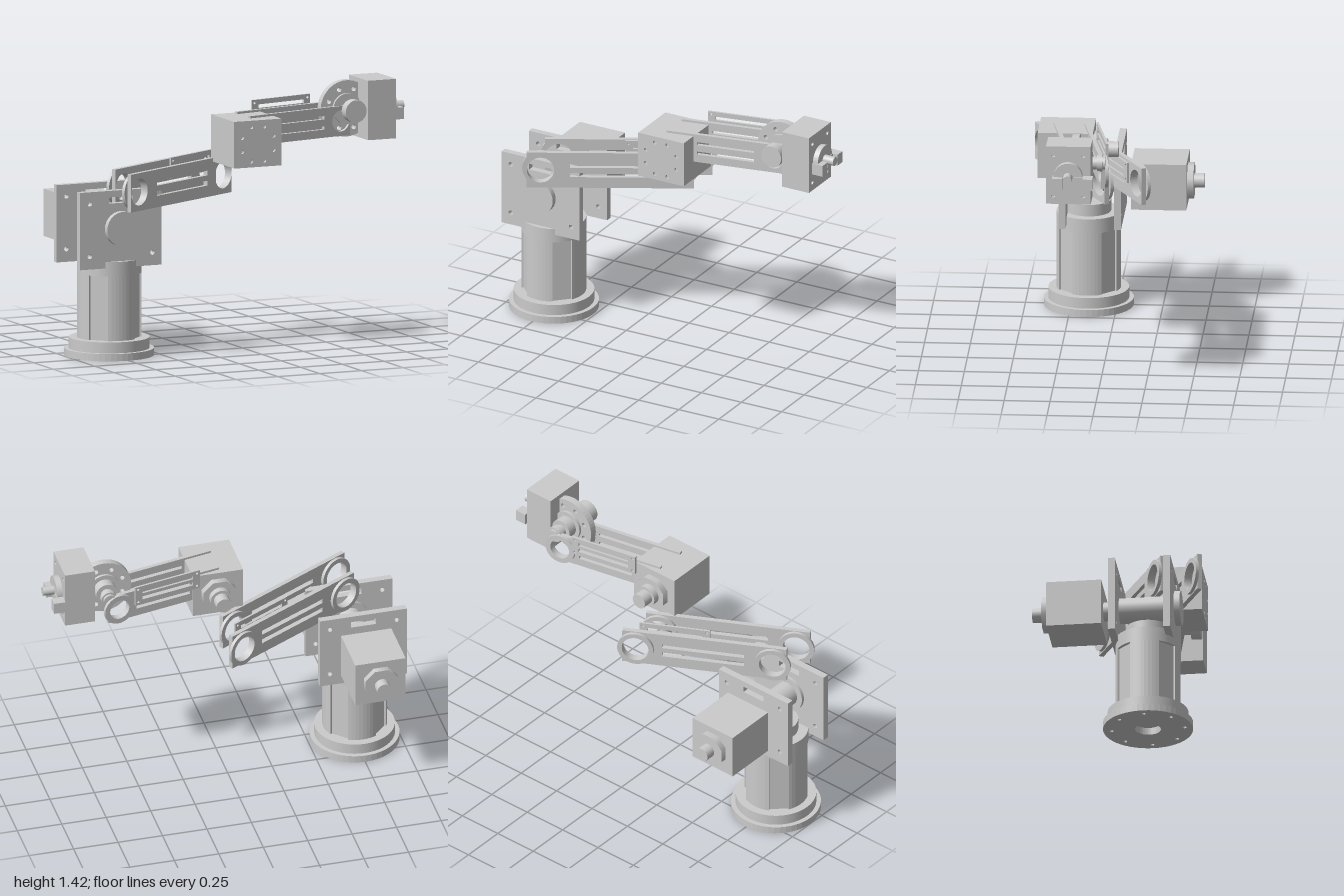
import * as THREE from 'three';

const mat = new THREE.MeshStandardMaterial({ color: 0xcccccc });

export function createModel() {
  const root = new THREE.Group();

  const add = (name, geo, x = 0, y = 0, z = 0, parent = root) => {
    const m = new THREE.Mesh(geo, mat);
    m.name = name;
    m.position.set(x, y, z);
    parent.add(m);
    return m;
  };
  // box given by its min and max corners
  const box = (name, x0, x1, y0, y1, z0, z1, parent) =>
    add(name, new THREE.BoxGeometry(x1 - x0, y1 - y0, z1 - z0),
      (x0 + x1) / 2, (y0 + y1) / 2, (z0 + z1) / 2, parent);
  // cylinders along each axis, from a to b
  const cylY = (name, r, a, b, x, z) =>
    add(name, new THREE.CylinderGeometry(r, r, b - a, 48), x, (a + b) / 2, z);
  const cylZ = (name, r, a, b, x, y, sides = 40) =>
    add(name, new THREE.CylinderGeometry(r, r, b - a, sides).rotateY(Math.PI / sides).rotateX(Math.PI / 2), x, y, (a + b) / 2);
  const cylX = (name, r, a, b, y, z) =>
    add(name, new THREE.CylinderGeometry(r, r, b - a, 40).rotateZ(Math.PI / 2), (a + b) / 2, y, z);

  const circle = (x, y, r) => new THREE.Path().absarc(x, y, r, 0, Math.PI * 2, true);
  const slot = (x0, x1, y0, y1) => new THREE.Path([[x0, y0], [x0, y1], [x1, y1], [x1, y0]].map(p => new THREE.Vector2(...p)));
  const rect = (x0, x1, y0, y1) => new THREE.Shape([[x0, y0], [x1, y0], [x1, y1], [x0, y1]].map(p => new THREE.Vector2(...p)));
  const disc = r => new THREE.Shape().absarc(0, 0, r, 0, Math.PI * 2, false);
  const ringOfHoles = (n, rad, r, turn = 0) => Array.from({ length: n }, (_, i) => {
    const a = (i + turn) / n * Math.PI * 2;
    return circle(Math.cos(a) * rad, Math.sin(a) * rad, r);
  });
  const plate = (shape, holes, depth) => {
    shape.holes.push(...holes);
    return new THREE.ExtrudeGeometry(shape, { depth, bevelEnabled: false, curveSegments: 24 });
  };

  // base flange with centre bore and bolt holes
  const bx = -0.755, bz = 0.155;
  add('baseFlange', plate(disc(0.245), [circle(0, 0, 0.07), ...ringOfHoles(8, 0.2, 0.011)], 0.04).rotateX(-Math.PI / 2), bx, 0, bz);
  cylY('baseStep', 0.22, 0.04, 0.1, bx, bz);

  // column: four lobes with recessed diagonal flats, round above
  const section = new THREE.Shape();
  const lobe = 27 * Math.PI / 180;
  for (let i = 0; i < 4; i++) {
    const c = i * Math.PI / 2;
    for (let k = 0; k <= 8; k++) {
      const a = c - lobe + 2 * lobe * k / 8;
      const p = [0.176 * Math.cos(a), 0.176 * Math.sin(a)];
      if (i + k === 0) section.moveTo(...p); else section.lineTo(...p);
    }
    for (const a of [c + lobe, c + Math.PI / 2 - lobe]) section.lineTo(0.165 * Math.cos(a), 0.165 * Math.sin(a));
  }
  add('column', plate(section, [], 0.355).rotateX(-Math.PI / 2), bx, 0.1, bz);
  cylY('columnTop', 0.176, 0.455, 0.535, bx, bz);
  cylY('columnNeck', 0.122, 0.535, 0.6, bx, bz);

  // shoulder plates, with corner bolt holes and a window
  for (const [name, z] of [['shoulderPlateFront', 0.267], ['shoulderPlateBack', -0.036]]) {
    const holes = [slot(-0.825, -0.685, 0.855, 0.89)];
    for (const x of [-0.94, -0.565]) for (const y of [0.57, 0.86]) holes.push(circle(x, y, 0.013));
    add(name, plate(rect(-0.998, -0.51, 0.5, 0.925), holes, 0.038), 0, 0, z);
  }
  // shoulder shaft and motor
  const sy = 0.715;
  cylZ('shoulderShaft', 0.07, 0, 0.27, bx, sy);
  cylZ('shoulderFlange', 0.105, 0.25, 0.27, bx, sy);
  cylZ('shoulderCap', 0.095, 0.3, 0.338, bx, sy);
  cylZ('motorCoupling', 0.052, -0.087, -0.03, bx, sy);
  box('shoulderMotor', -0.898, -0.615, 0.585, 0.845, -0.385, -0.085);
  cylZ('motorCollar', 0.1, -0.42, -0.385, bx, sy, 8);
  cylZ('motorShaft', 0.04, -0.476, -0.42, bx, sy);

  // arm link: slotted plate with bearing rings on its back
  const link = (name, x, y, z, angle, o) => {
    const g = new THREE.Group();
    g.name = name;
    g.position.set(x, y, z);
    g.rotation.y = angle;
    root.add(g);
    const slots = [-1, 1].map(s => slot(o.s0, o.s1, s * o.sy - o.sh, s * o.sy + o.sh));
    add('linkPlate', plate(rect(-o.half, o.half, -o.h, o.h), [...slots, ...o.rings.map(c => circle(c, 0, o.hole))], o.t), 0, 0, -o.t / 2, g);
    for (const c of o.rings)
      add('bearingRing', plate(disc(o.outer), [circle(0, 0, o.hole)], 0.018), c, 0, -o.t / 2 - 0.018, g);
  };
  // thin slotted cover strip
  const strip = (name, x, y, z, angle, half, h) => {
    const holes = [-1, 1].map(s => slot(-half * 0.78, half * 0.78, s * h * 0.35 - 0.01, s * h * 0.35 + 0.01));
    for (const sx of [-1, 1]) for (const s of [-1, 1]) holes.push(circle(sx * half * 0.91, s * h * 0.7, 0.007));
    add(name, plate(rect(-half, half, -h, h), holes, 0.012), x, y, z).rotation.y = angle;
  };

  // lower arm
  const low = 28.4 * Math.PI / 180;
  const lowSpec = { half: 0.455, h: 0.104, t: 0.026, s0: -0.22, s1: 0.235, sy: 0.028, sh: 0.013, rings: [-0.38, 0.38], hole: 0.074, outer: 0.1 };
  link('lowerArmFront', -0.365, 0.926, 0.222, low, lowSpec);
  link('lowerArmBack', -0.365, 0.926, 0.02, low, lowSpec);
  strip('lowerArmStrip', -0.185, 0.988, -0.02, low, 0.195, 0.057);

  // elbow motor, drilled front
  const ex = 0.035, ey = 1.137;
  box('elbowMotor', -0.107, 0.177, 1.01, 1.267, 0.072, 0.355);
  add('elbowFace', plate(rect(-0.142, 0.142, -0.127, 0.13), ringOfHoles(8, 0.102, 0.011, 0.5), 0.017), ex, ey, 0.355);
  cylZ('elbowCollar', 0.1, 0.035, 0.072, ex, ey, 8);
  cylZ('elbowBoss', 0.06, 0, 0.035, ex, ey);
  cylZ('elbowShaft', 0.043, -0.06, 0, ex, ey);

  // upper arm
  const up = 11.5 * Math.PI / 180;
  const upSpec = { half: 0.335, h: 0.082, t: 0.022, s0: -0.16, s1: 0.165, sy: 0.028, sh: 0.009, rings: [0.275], hole: 0.058, outer: 0.088 };
  link('upperArmFront', 0.352, 1.197, 0.218, up, upSpec);
  link('upperArmBack', 0.352, 1.197, 0.05, up, upSpec);
  strip('upperArmStrip', 0.337, 1.268, 0.003, up, 0.196, 0.057);

  // wrist wheel and axle
  const wx = 0.668, wy = 1.26;
  add('wristWheel', plate(disc(0.155), ringOfHoles(8, 0.113, 0.013, 0.5), 0.04), wx, wy, 0.11);
  cylZ('wristAxle', 0.035, -0.03, 0.24, wx, wy);
  cylZ('wristHubBack', 0.06, 0.04, 0.1, wx, wy);
  cylZ('wristHubMiddle', 0.085, 0.095, 0.165, wx, wy);
  cylZ('wristHubFront', 0.062, 0.222, 0.276, wx, wy);
  cylZ('axleCollar', 0.045, -0.015, 0.015, wx, wy);

  // hand block with drilled face
  const hz = 0.157;
  box('handBlock', 0.737, 0.885, 1.098, 1.425, 0.035, 0.278);
  const corners = [];
  for (const x of [-0.082, 0.082]) for (const y of [-0.115, 0.115]) corners.push(circle(x, y, 0.011));
  add('handFace', plate(rect(-0.1215, 0.1215, -0.162, 0.165), corners, 0.02).rotateY(Math.PI / 2), 0.885, wy, hz);

  // gripper hub, fingers and tip
  cylX('gripperHub', 0.078, 0.9, 0.936, wy, hz);
  cylX('gripperShaft', 0.025, 0.93, 1.0, wy, hz);
  for (const s of [-1, 1]) {
    const a = hz + s * 0.03, b = hz + s * 0.08, c = hz + s * 0.135;
    box('fingerArm', 0.905, 0.94, 1.195, 1.26, Math.min(a, b), Math.max(a, b));
    box('finger', 0.905, 0.97, 1.195, 1.26, Math.min(b, c) - (s > 0 ? 0.05 : 0), Math.max(b, c) - (s > 0 ? 0.05 : 0));
  }
  return root;
}
